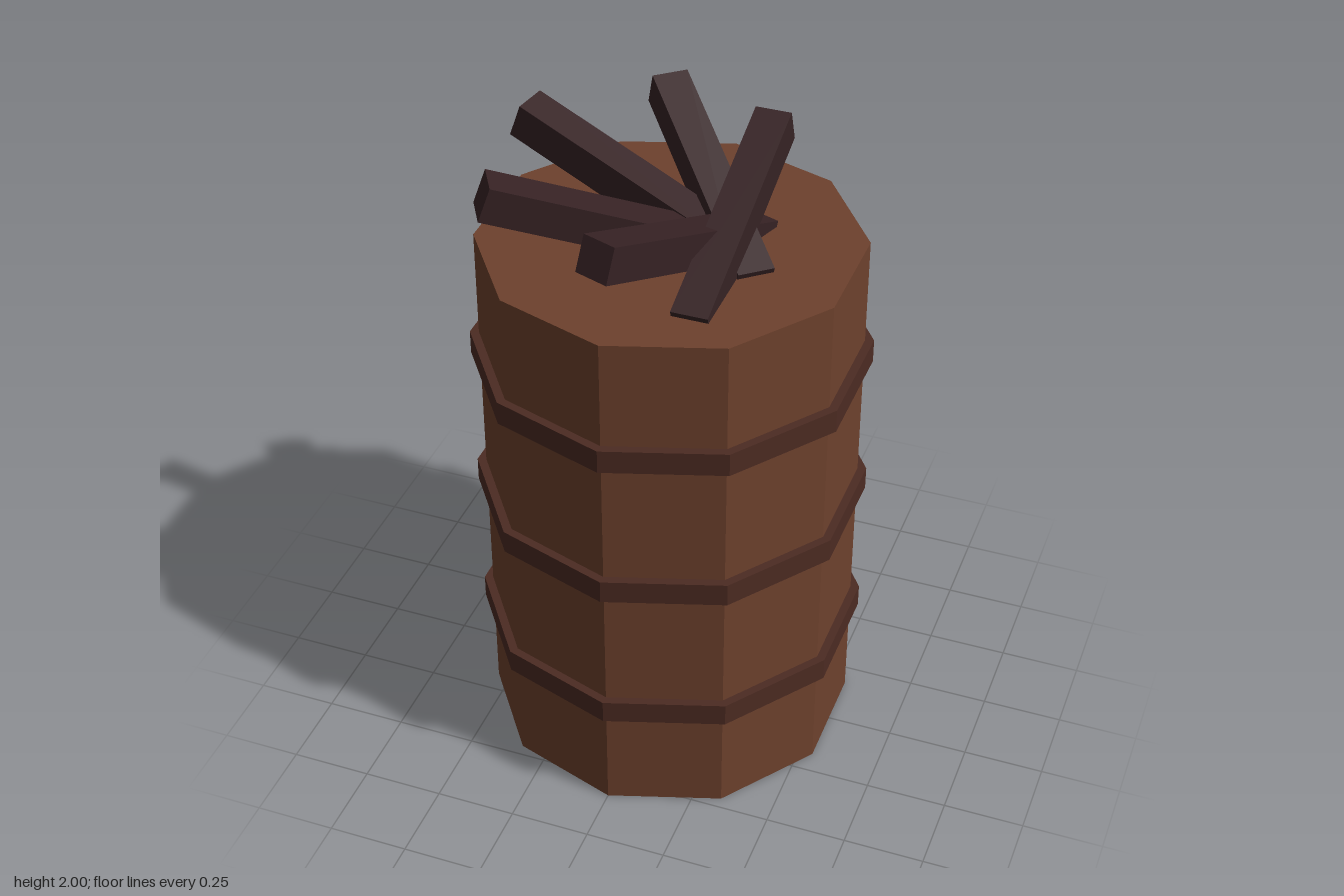
import * as THREE from 'three';

const material = (name, color) => {
  const m = new THREE.MeshStandardMaterial({ color, flatShading: true });
  m.name = name;
  return m;
};

export function createModel() {
  const wood = material('barrelBrown', 0x6e412d);
  const bandBrown = material('bandBrown', 0x4c2b22);
  const charred = material('charredWood', 0x362224);

  const model = new THREE.Group();
  model.name = 'barrelWithSticks';

  const add = (name, geometry, mat, x, y, z) => {
    const mesh = new THREE.Mesh(geometry, mat);
    mesh.name = name;
    mesh.position.set(x, y, z);
    model.add(mesh);
    return mesh;
  };

  // Ten-sided barrel
  const sides = 10;
  const height = 1.72;
  add('barrel', new THREE.CylinderGeometry(0.573, 0.573, height, sides), wood, 0, height / 2, 0);

  // Three hoops around the barrel
  const hoop = new THREE.CylinderGeometry(0.6, 0.6, 0.075, sides);
  for (let i = 0; i < 3; i++) {
    add('hoop' + (i + 1), hoop, bandBrown, 0, 0.383 + i * 0.479, 0);
  }

  // Fan of tilted sticks, partly sunk into the top
  const stick = new THREE.BoxGeometry(0.11, 0.11, 0.764);
  for (let i = 0; i < 5; i++) {
    const a = i * 1.3;
    const mesh = add('stick' + (i + 1), stick, charred, 0.19 * Math.cos(a), 1.817, -0.19 * Math.sin(a));
    mesh.rotation.set(0.35, i * 0.7, 0, 'YXZ');
  }

  return model;
}
